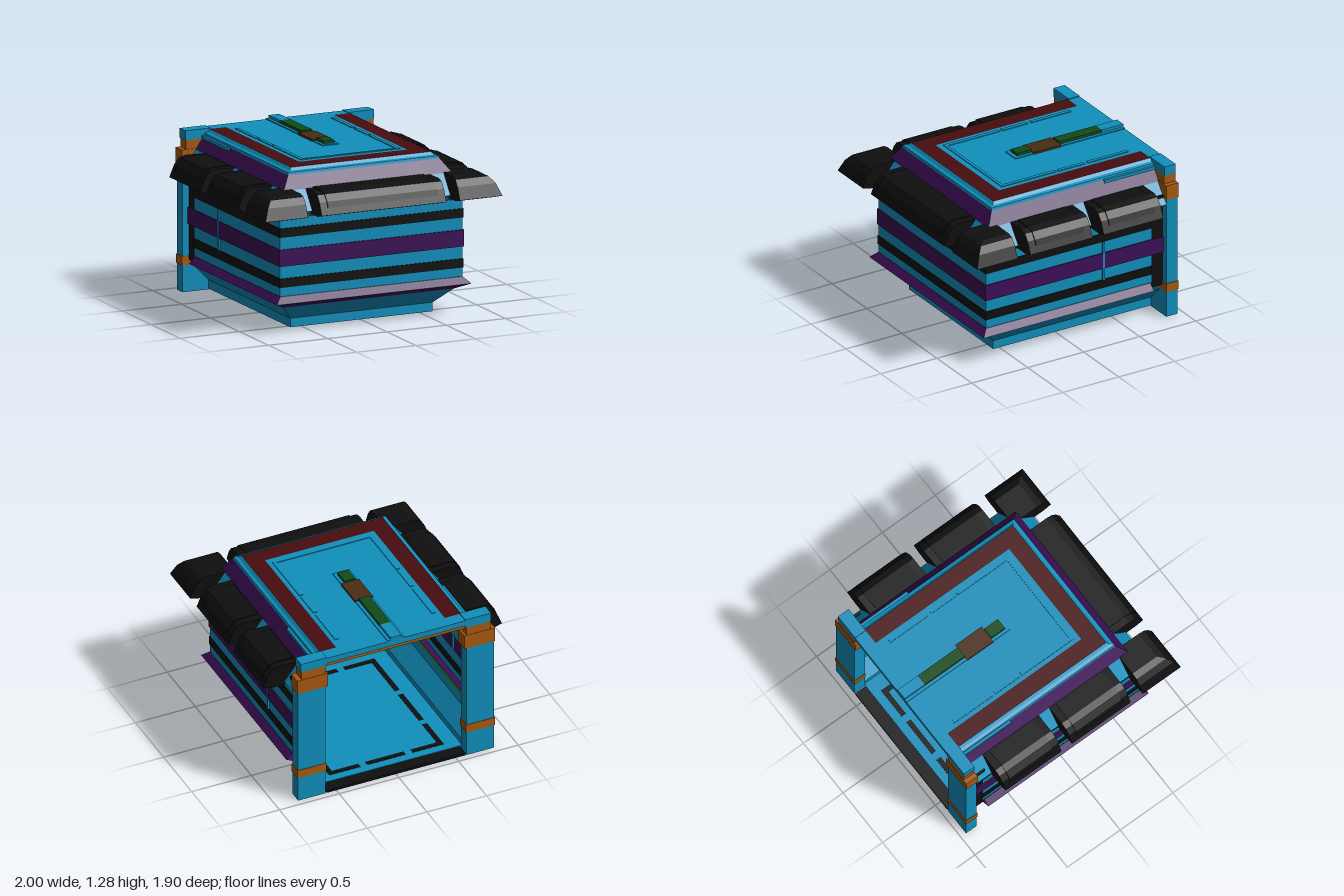
import * as THREE from 'three';
import { ConvexGeometry } from 'three/addons/geometries/ConvexGeometry.js';

const mat = (color) => new THREE.MeshStandardMaterial({ color, flatShading: true, side: THREE.DoubleSide });
const BLUE = mat(0x1090bd), PURPLE = mat(0x3d0f57), BLACK = mat(0x0f0f0f), RED = mat(0x480c0e);
const ORANGE = mat(0xa85a10), GREEN = mat(0x124a18), BROWN = mat(0x4a2c14), LIME = mat(0x18a010);

export function createModel() {
  const model = new THREE.Group();
  const add = (name, geo, material) => {
    const m = new THREE.Mesh(geo, material);
    m.name = name;
    model.add(m);
    return m;
  };

  // Box given by its limits
  const box = (name, material, x0, x1, y0, y1, z0, z1) =>
    add(name, new THREE.BoxGeometry(Math.abs(x1 - x0), y1 - y0, z1 - z0), material)
      .position.set((x0 + x1) / 2, (y0 + y1) / 2, (z0 + z1) / 2);
  // Same box on both sides
  const pair = (name, material, x0, x1, ...rest) => {
    box(name + 'Left', material, x0, x1, ...rest);
    box(name + 'Right', material, -x1, -x0, ...rest);
  };

  // U-shaped shell round both sides and the front; profile of [half width, y]
  const band = (name, material, profile, back) => {
    const pos = [];
    const loop = ([h, y]) => [[-h, y, back], [-h, y, h - 0.04], [h, y, h - 0.04], [h, y, back]];
    for (let i = 0; i < profile.length - 1; i++) {
      const lo = loop(profile[i]), hi = loop(profile[i + 1]);
      for (let j = 0; j < 3; j++)
        pos.push(...lo[j], ...lo[j + 1], ...hi[j + 1], ...lo[j], ...hi[j + 1], ...hi[j]);
    }
    const geo = new THREE.BufferGeometry();
    geo.setAttribute('position', new THREE.Float32BufferAttribute(pos, 3));
    geo.computeVertexNormals();
    add(name, geo, material);
  };

  // Base and sloping lower hull
  box('floor', BLUE, -0.6, 0.6, 0.005, 0.025, -0.85, 0.56);
  band('lowerHull', BLUE, [[0.6, 0.005], [0.6, 0.075], [0.72, 0.195]], -0.85);
  band('skirt', PURPLE, [[0.72, 0.195], [0.82, 0.245], [0.77, 0.295]], -0.74);
  band('innerSkirt', BLUE, [[0.72, 0.195], [0.72, 0.28]], -0.75);
  band('lightStrip', LIME, [[0.72, 0.28], [0.72, 0.31]], -0.75);
  band('innerLedge', PURPLE, [[0.72, 0.31], [0.768, 0.31]], -0.75);
  box('threshold', BLACK, -0.58, 0.58, 0, 0.02, -0.95, -0.85);

  // Dashed outline through the floor
  for (const [z0, z1] of [[-0.74, -0.48], [-0.42, -0.05], [0.01, 0.42]])
    pair('floorDash', BLACK, 0.44, 0.48, 0.002, 0.028, z0, z1);
  for (const z of [-0.78, 0.42]) {
    pair('floorCrossDash', BLACK, 0.22, 0.48, 0.002, 0.028, z, z + 0.04);
    box('floorMiddleDash', BLACK, -0.16, 0.16, 0.002, 0.028, z, z + 0.04);
  }

  // Wall bands from bottom to top
  band('wallLow', BLUE, [[0.768, 0.295], [0.768, 0.365]], -0.75);
  band('wallStripeLow', BLACK, [[0.768, 0.365], [0.775, 0.365], [0.775, 0.435], [0.768, 0.435]], -0.75);
  band('wallMidLow', BLUE, [[0.768, 0.435], [0.768, 0.53]], -0.75);
  band('wallBelt', PURPLE, [[0.768, 0.53], [0.778, 0.53], [0.778, 0.66], [0.768, 0.66]], -0.85);
  band('wallMidHigh', BLUE, [[0.768, 0.66], [0.768, 0.755]], -0.75);
  band('wallStripeHigh', BLACK, [[0.768, 0.755], [0.775, 0.755], [0.775, 0.825], [0.768, 0.825]], -0.75);
  band('wallTop', BLUE, [[0.768, 0.825], [0.768, 0.9], [0.82, 0.95]], -0.75);
  pair('wallSeam', BLUE, 0.765, 0.782, 0.435, 0.755, -0.325, -0.31);
  pair('doorJamb', BLACK, 0.73, 0.766, 0.25, 0.95, -0.85, -0.74);
  pair('hingeBar', BLACK, 0.78, 0.795, 1.0, 1.02, -0.85, -0.75);

  // Roof shell
  band('eave', PURPLE, [[0.71, 1.1], [0.64, 1.2]], -0.85);
  band('roofStep', BLUE, [[0.64, 1.2], [0.635, 1.22], [0.61, 1.227], [0.59, 1.248]], -0.85);
  band('roofStripe', RED, [[0.59, 1.248], [0.455, 1.248]], -0.85);
  box('roofPanel', BLUE, -0.455, 0.455, 1.238, 1.248, -0.85, 0.415);
  pair('roofRearTrim', BLUE, 0.63, 0.66, 1.18, 1.205, -0.85, -0.4);

  // Raised ribs on the roof panel
  for (const [z0, z1] of [[-0.76, -0.4], [-0.37, -0.14], [-0.12, 0.37]])
    pair('roofRib', BLUE, 0.39, 0.42, 1.245, 1.254, z0, z1);
  box('roofFrontRib', BLUE, -0.39, 0.39, 1.245, 1.254, 0.345, 0.37);

  // Spine along the roof
  box('spineBase', BLUE, -0.07, 0.07, 1.24, 1.256, -0.95, 0.03);
  box('spineRear', BLUE, -0.045, 0.045, 1.25, 1.278, -0.95, -0.76);
  box('spineGreenRear', GREEN, -0.045, 0.045, 1.234, 1.278, -0.76, -0.38);
  box('spineBridge', BROWN, -0.075, 0.075, 1.234, 1.265, -0.38, -0.13);
  box('spineGreenFront', GREEN, -0.045, 0.045, 1.234, 1.278, -0.13, 0);

  // Rear frame
  for (const [n, s] of [['Left', 1], ['Right', -1]]) {
    const part = (name, m, a, b, ...r) => box(name + n, m, s * a, s * b, ...r);
    part('post', BLUE, 0.59, 0.82, 0, 1.0, -0.95, -0.85);
    part('postBand', ORANGE, 0.585, 0.826, 0.21, 0.28, -0.954, -0.846);
    part('postCollar', ORANGE, 0.57, 0.828, 0.99, 1.11, -0.953, -0.845);
    part('postNeck', ORANGE, 0.59, 0.79, 1.11, 1.18, -0.95, -0.85);
    part('postCap', BLUE, 0.58, 0.795, 1.18, 1.255, -0.95, -0.85);
  }
  box('rearBeam', BLUE, -0.58, 0.58, 1.2, 1.248, -0.95, -0.85);
  box('rearBeamTrim', ORANGE, -0.58, 0.58, 1.17, 1.2, -0.94, -0.86);

  // Awning plates: convex stacks, inset from the outer edge by [inset, y]
  const plateProfile = [[0.07, 0.925], [0, 0.945], [0.04, 1.04], [0.08, 1.09], [0.13, 1.105]];
  const point = (out, y, t, side) => side === 0 ? [t, y, out - 0.05] : [side * out, y, t];
  const hull = (name, pts, m) => add(name, new ConvexGeometry(pts.map((p) => new THREE.Vector3(...p))), m);
  const plate = (name, side, t0, t1) => {
    const pts = [], rim = [];
    for (const t of [t0, t1]) {
      for (const [d, y] of plateProfile) pts.push(point(1 - d, y, t, side));
      pts.push(point(0.79, 0.925, t, side), point(0.67, 1.1, t, side));
    }
    hull(name, pts, BLACK);
    // Raised panel on the outer slope
    for (const t of [t0 + 0.06, t1 - 0.06])
      for (const [o, y] of [[0.985, 1.0], [0.968, 1.045], [0.926, 1.096], [0.87, 1.11], [0.72, 1.11], [0.8, 1.0]])
        rim.push(point(o, y, t, side));
    hull(name + 'Panel', rim, BLACK);
  };
  // Sloping bracket between wall and eave
  const strut = (name, side, t0, t1) => {
    const pts = [];
    for (const t of [t0, t1])
      for (const [o, y] of [[0.825, 0.95], [0.77, 0.93], [0.71, 1.1], [0.67, 1.1]])
        pts.push(point(o + (side ? 0 : 0.01), y, t, side));
    hull(name, pts, BLUE);
  };

  plate('frontAwning', 0, -0.525, 0.525);
  for (const s of [1, -1]) {
    const n = s > 0 ? 'Left' : 'Right';
    plate('rearAwning' + n, s, -0.71, -0.18);
    plate('middleAwning' + n, s, -0.08, 0.475);
    strut('sideStrut' + n, s, -0.18, -0.08);
    strut('cornerStrut' + n, s, 0.475, 0.59);
    strut('rearStrut' + n, s, -0.85, -0.71);
    strut('frontStrut' + n, 0, s * 0.525, s * 0.64);
    // Corner plate slopes on two sides
    const pts = [];
    for (const [d, y] of plateProfile)
      for (const x of [0.64, 1 - d]) for (const z of [0.59, 0.95 - d]) pts.push([s * x, y, z]);
    hull('cornerAwning' + n, pts, BLACK);
  }
  return model;
}
